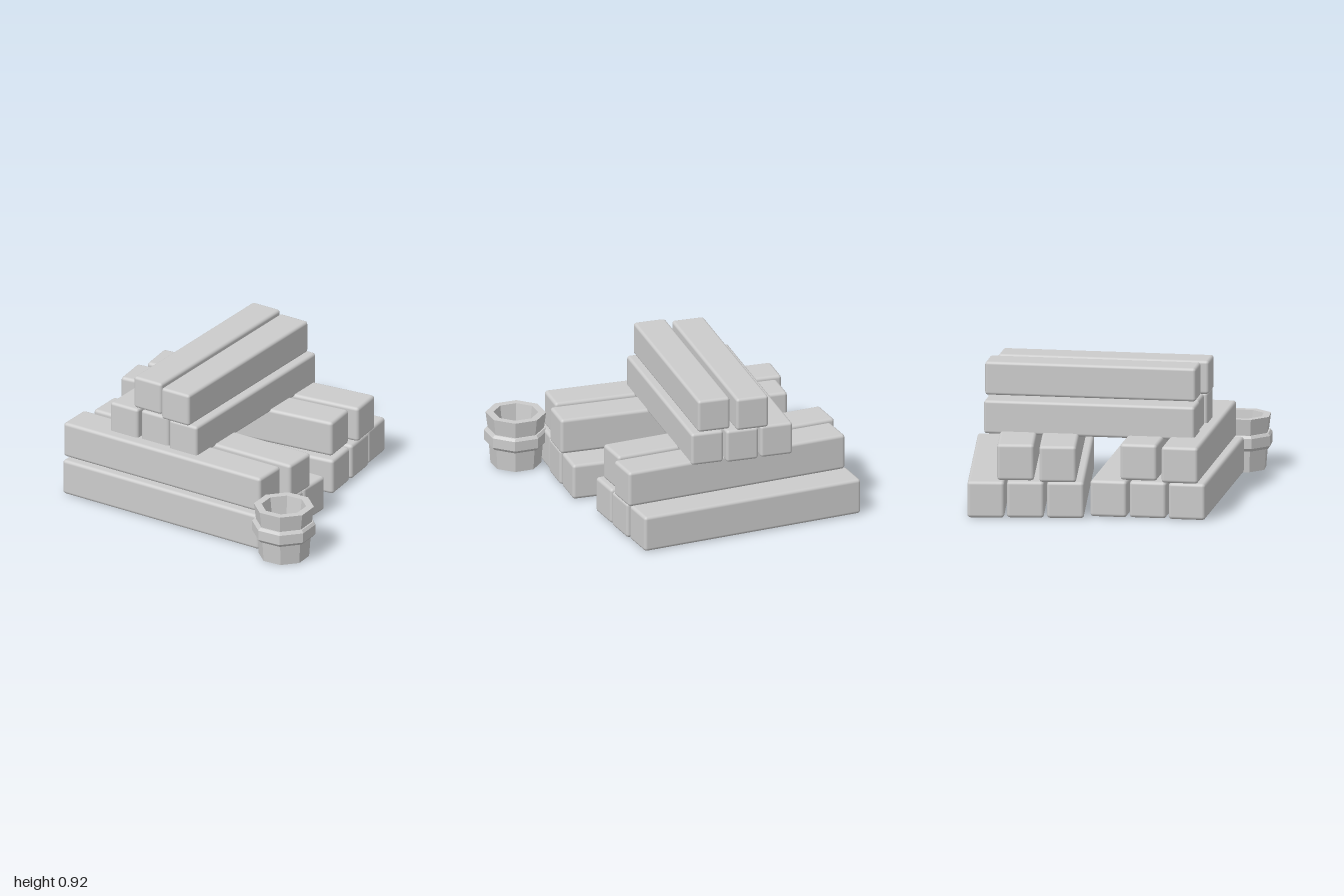
import * as THREE from 'three';
import { RoundedBoxGeometry } from 'three/addons/geometries/RoundedBoxGeometry.js';

export function createModel() {
  const model = new THREE.Group();
  model.name = 'beamStack';
  const grey = new THREE.MeshStandardMaterial({ color: 0xcccccc });
  grey.name = 'pale grey';
  const potGrey = grey.clone();
  potGrey.flatShading = true;

  // Long beams lie along x, the shorter top beams along z
  const longBeam = new RoundedBoxGeometry(1.57, 0.245, 0.245, 2, 0.022);
  const shortBeam = new RoundedBoxGeometry(0.222, 0.225, 1.41, 2, 0.02);

  function addRow(name, geometry, y, turn, centres) {
    const row = new THREE.Group();
    row.name = name;
    centres.forEach(([x, z], i) => {
      const beam = new THREE.Mesh(geometry, grey);
      beam.name = `${name}Beam${i + 1}`;
      beam.position.set(x, y, z);
      beam.rotation.y = turn;
      row.add(beam);
    });
    model.add(row);
  }

  // Two piles, each three beams below and two above
  addRow('frontLower', longBeam, 0.125, -0.068, [[-0.145, 0.622], [-0.115, 0.36], [-0.105, 0.098]]);
  addRow('frontUpper', longBeam, 0.373, -0.066, [[-0.165, 0.575], [-0.097, 0.296]]);
  addRow('backLower', longBeam, 0.125, 0.055, [[-0.21, -0.8], [-0.185, -0.54], [-0.175, -0.275]]);
  addRow('backUpper', longBeam, 0.373, 0.054, [[-0.175, -0.605], [-0.21, -0.322]]);

  // Cross beams bridging the piles
  addRow('crossLower', shortBeam, 0.588, -0.064, [[-0.475, -0.105], [-0.235, -0.1], [0, -0.065]]);
  addRow('crossUpper', shortBeam, 0.812, -0.064, [[-0.3, -0.115], [-0.052, -0.052]]);

  // Eight-sided hollow pot with a raised band; radii are to the flat sides
  const profile = [
    [0, 0], [0.155, 0], [0.165, 0.145], [0.18, 0.145], [0.195, 0.165], [0.195, 0.232],
    [0.182, 0.25], [0.172, 0.25], [0.185, 0.36], [0.137, 0.36], [0.117, 0.2], [0, 0.2],
  ].map(([r, y]) => new THREE.Vector2(r / Math.cos(Math.PI / 8), y));
  const pot = new THREE.Mesh(new THREE.LatheGeometry(profile, 8, Math.PI / 8), potGrey);
  pot.name = 'pot';
  pot.position.set(0.803, 0, 0.765);
  model.add(pot);

  return model;
}
